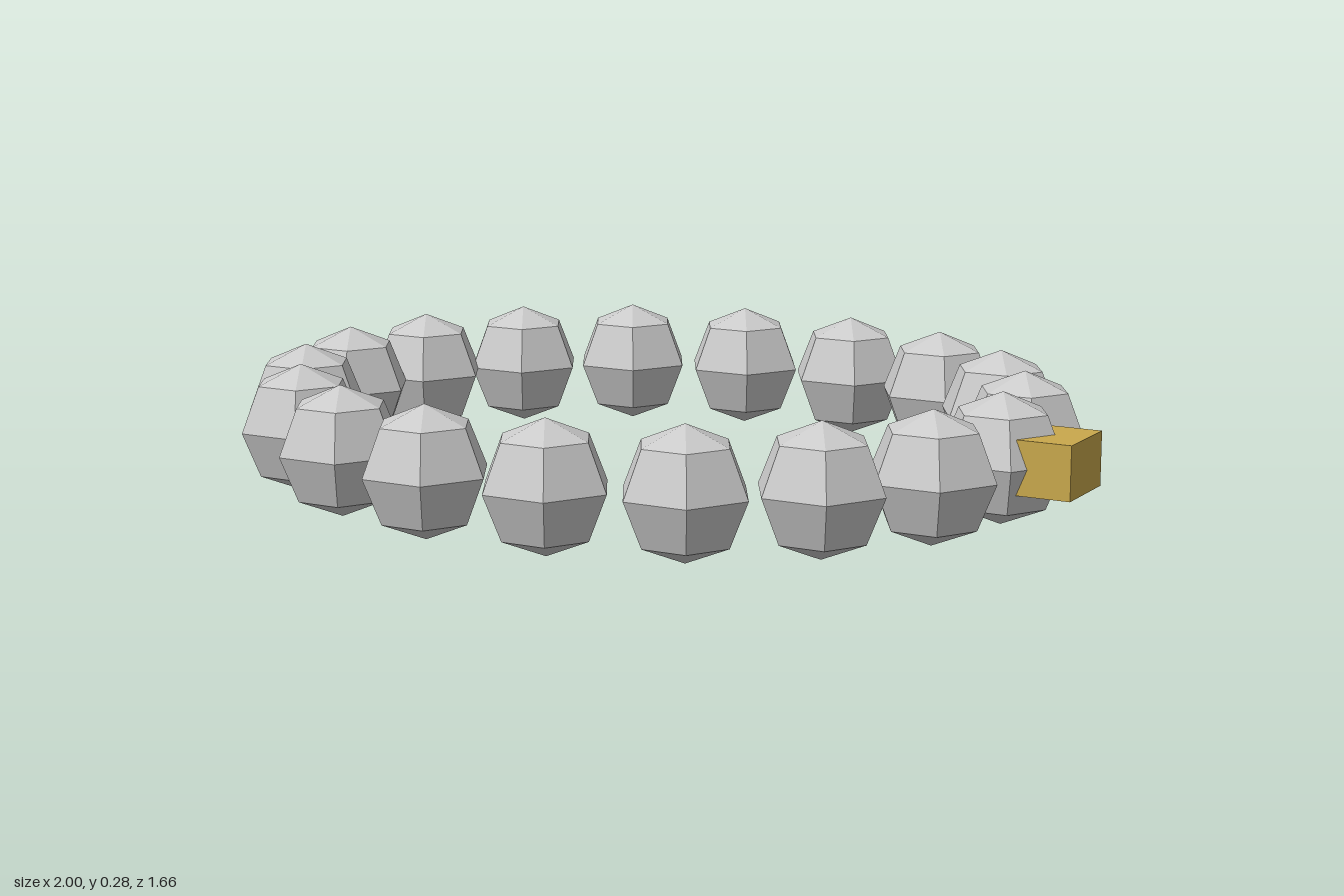
import * as THREE from 'three';

export function createModel() {
  const model = new THREE.Group();
  model.name = 'beadBracelet';

  const beadMaterial = new THREE.MeshStandardMaterial({ color: 0xcccccc, flatShading: true });
  const claspMaterial = new THREE.MeshStandardMaterial({ color: 0xc9a84c });

  const beadCount = 18;
  const beadRadius = 0.1425;
  const ringX = 0.835, ringZ = 0.716; // oval half-axes
  const centreX = -0.0225;

  // Faceted beads, all facing the same way, spaced around the oval
  const beads = new THREE.Group();
  beads.name = 'beads';
  const beadGeometry = new THREE.SphereGeometry(beadRadius, 6, 4);
  for (let i = 0; i < beadCount; i++) {
    const angle = (i / beadCount) * Math.PI * 2;
    const bead = new THREE.Mesh(beadGeometry, beadMaterial);
    bead.name = 'bead';
    bead.position.set(centreX + ringX * Math.cos(angle), beadRadius, ringZ * Math.sin(angle));
    beads.add(bead);
  }
  model.add(beads);

  // Gold clasp set into the outer side of the left bead
  const clasp = new THREE.Mesh(new THREE.BoxGeometry(0.125, 0.118, 0.175), claspMaterial);
  clasp.name = 'clasp';
  clasp.position.set(0.9375, 0.145, 0);
  model.add(clasp);

  return model;
}
